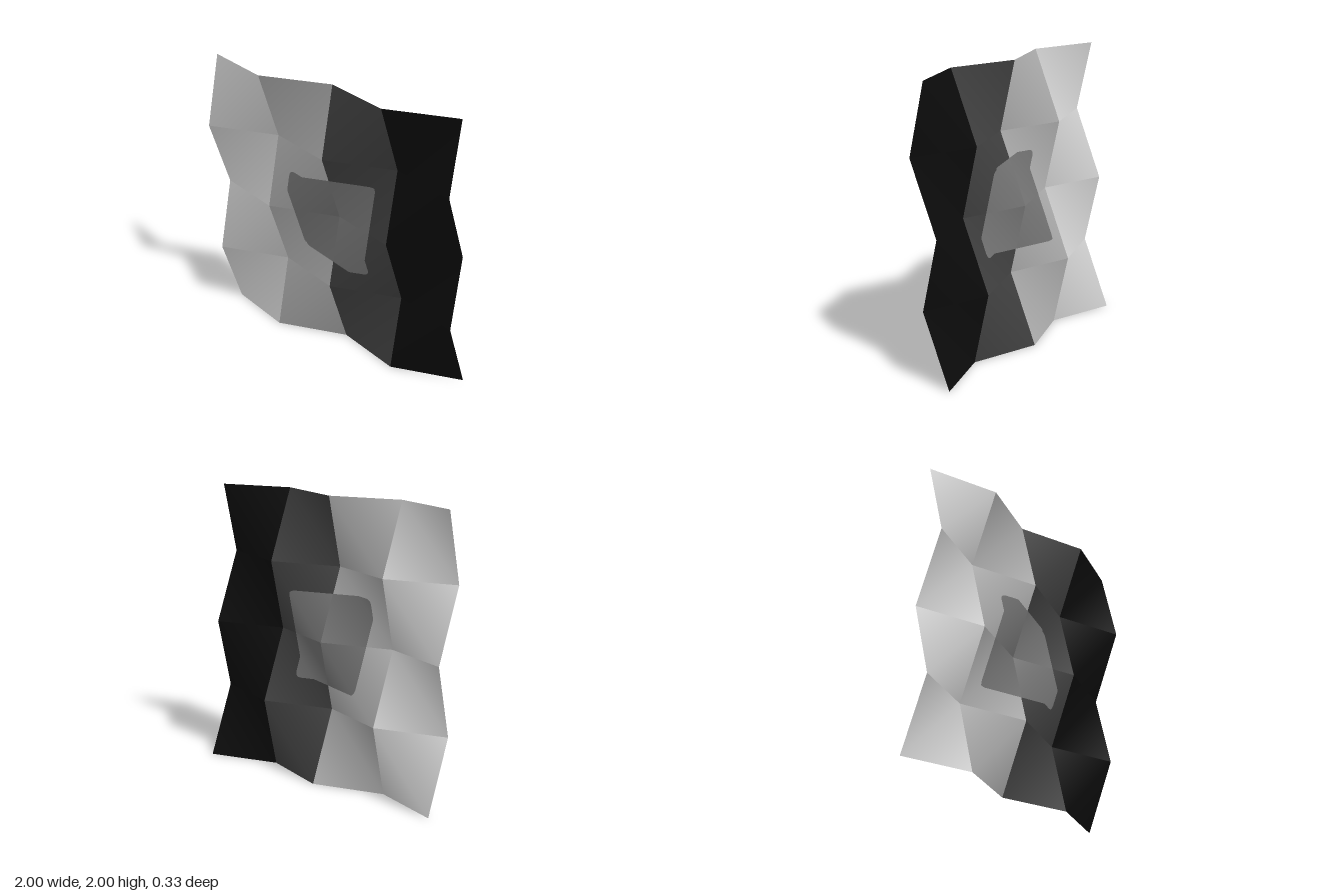
import * as THREE from 'three';
import { mergeGeometries } from 'three/addons/utils/BufferGeometryUtils.js';

const CELL = 0.5;   // fold spacing
const FOLD = 0.08;  // fold depth
const LEAN = 0.085; // forward lean per unit of height

// Depth of the folded sheet at fold point (i, j)
const foldZ = (i, j) => (j * CELL - 1) * LEAN + ((i + j) % 2 ? FOLD : -FOLD);

// Depth and softened normal inside cell (i, j), creased along the rising diagonal
function sample(i, j, x, y) {
  const u = (x + 1) / CELL - i, v = y / CELL - j;
  const bl = foldZ(i, j), br = foldZ(i + 1, j), tl = foldZ(i, j + 1), tr = foldZ(i + 1, j + 1);
  const nUpper = new THREE.Vector3((tl - tr) / CELL, (bl - tl) / CELL, 1);
  const nLower = new THREE.Vector3((bl - br) / CELL, (br - tr) / CELL, 1);
  const nMid = nUpper.clone().add(nLower).normalize();
  nUpper.normalize();
  nLower.normalize();
  const upper = v >= u, w = Math.abs(v - u);
  const z = upper
    ? w * tl + (1 - v) * bl + u * tr
    : w * br + (1 - u) * bl + v * tr;
  const normal = nMid.multiplyScalar(1 - w).addScaledVector(upper ? nUpper : nLower, w).normalize();
  return { z, normal };
}

// Patch of the sheet within one cell; adjust may move a point before it is draped
function patch(i, j, x0, y0, size, segments, lift = 0, adjust = null) {
  const g = new THREE.PlaneGeometry(size, size, segments, segments);
  g.translate(x0 + size / 2, y0 + size / 2, 0);
  const p = g.attributes.position, p2 = new THREE.Vector2();
  for (let k = 0; k < p.count; k++) {
    p2.set(p.getX(k), p.getY(k));
    if (adjust) adjust(p2);
    const { z, normal } = sample(i, j, p2.x, p2.y);
    p.setXYZ(k, p2.x, p2.y, z + lift);
    g.attributes.normal.setXYZ(k, normal.x, normal.y, normal.z);
  }
  return g;
}

// Pulls points of the central square onto its rounded corners
const HALF = 0.32, RADIUS = 0.04;
function roundCorner(p) {
  const inner = HALF - RADIUS;
  const dx = Math.abs(p.x) - inner, dy = Math.abs(p.y - 1) - inner;
  const d = Math.hypot(dx, dy);
  if (dx > 0 && dy > 0 && d > RADIUS) {
    p.x = Math.sign(p.x) * (inner + dx * RADIUS / d);
    p.y = 1 + Math.sign(p.y - 1) * (inner + dy * RADIUS / d);
  }
}

function paint(name, color) {
  const m = new THREE.MeshStandardMaterial({ color, side: THREE.DoubleSide });
  m.name = name;
  return m;
}

export function createModel() {
  const model = new THREE.Group();
  model.name = 'foldedSheet';

  // Four vertical bands, each made of four folded cells
  const bands = [
    ['paleBand', paint('paleGrey', 0xd8d8d8)],
    ['lightBand', paint('lightGrey', 0xb2b2b2)],
    ['darkBand', paint('darkGrey', 0x424242)],
    ['blackBand', paint('black', 0x0c0c0c)],
  ];
  bands.forEach(([name, material], i) => {
    const cells = [0, 1, 2, 3].map((j) => patch(i, j, -1 + i * CELL, j * CELL, CELL, 1));
    const band = new THREE.Mesh(mergeGeometries(cells), material);
    band.name = name;
    model.add(band);
  });

  // Rounded central square, draped on both faces of the sheet
  const grey = paint('midGrey', 0x787878);
  for (const [name, lift] of [['frontSquare', 0.003], ['backSquare', -0.003]]) {
    const quarters = [];
    for (const i of [1, 2]) for (const j of [1, 2]) {
      quarters.push(patch(i, j, i === 1 ? -HALF : 0, j === 1 ? 1 - HALF : 1, HALF, 16, lift, roundCorner));
    }
    const square = new THREE.Mesh(mergeGeometries(quarters), grey);
    square.name = name;
    model.add(square);
  }
  return model;
}
